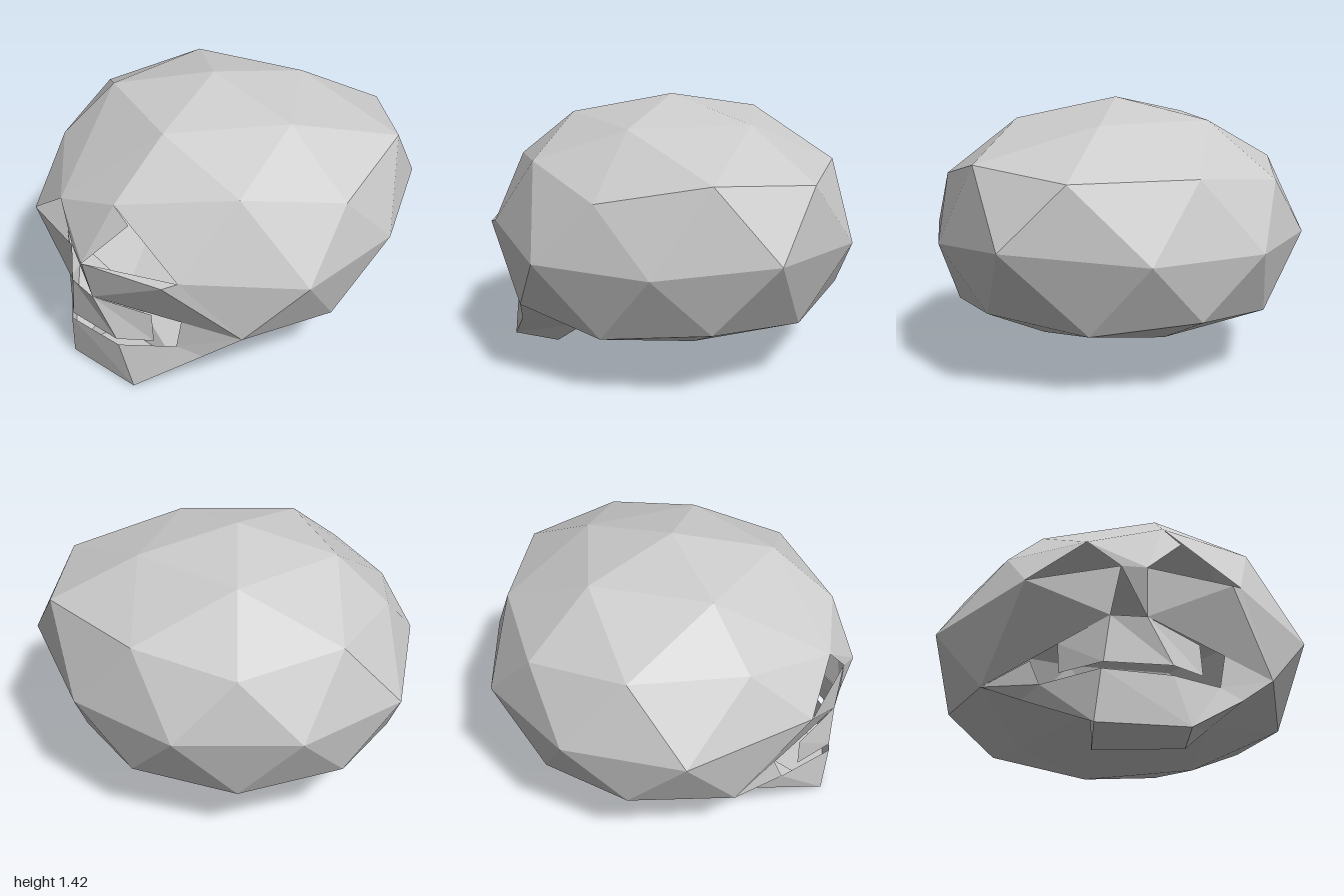
import * as THREE from 'three';

const material = new THREE.MeshStandardMaterial({ color: 0xcccccc, flatShading: true, side: THREE.DoubleSide });

// Fan-triangulates each polygon and turns every triangle away from the given centre.
function facets(name, polygons, centre) {
  const positions = [];
  const mid = new THREE.Vector3();
  const normal = new THREE.Vector3();
  for (const poly of polygons) {
    for (let i = 1; i < poly.length - 1; i++) {
      const tri = [poly[0], poly[i], poly[i + 1]].map((p) => new THREE.Vector3(...p));
      new THREE.Triangle(...tri).getNormal(normal);
      mid.copy(tri[0]).add(tri[1]).add(tri[2]).divideScalar(3).sub(centre);
      if (normal.dot(mid) < 0) tri.reverse();
      tri.forEach((p) => positions.push(p.x, p.y, p.z));
    }
  }
  const geometry = new THREE.BufferGeometry();
  geometry.setAttribute('position', new THREE.Float32BufferAttribute(positions, 3));
  geometry.computeVertexNormals();
  const mesh = new THREE.Mesh(geometry, material);
  mesh.name = name;
  return mesh;
}

// Point of a flattened sphere; the angle is counted in steps of 36 degrees from +x to +z.
function ringPoint(step, radius, height) {
  const angle = (step * Math.PI) / 5;
  return [
    1.015 * radius * Math.cos(angle),
    Math.max(0.225, 0.72 + 0.71 * height),
    0.015 + 1.015 * radius * Math.sin(angle),
  ];
}

export function createModel() {
  const skull = new THREE.Group();
  skull.name = 'skull';

  // Rings of the cranium, from the crown down to the flat base
  const crown = ringPoint(0, 0, 1);
  const base = ringPoint(0, 0, -1);
  const a = [], b = [], e = [], c = [], d = [];
  for (let k = 0; k < 10; k++) {
    const even = k % 2 === 0;
    a[k] = ringPoint(k, 0.526, 0.851);
    b[k] = even ? ringPoint(k, 0.894, 0.447) : ringPoint(k, 0.851, 0.526);
    e[k] = ringPoint(k + 0.5, 1, 0);
    c[k] = even ? ringPoint(k, 0.851, -0.526) : ringPoint(k, 0.894, -0.447);
    d[k] = ringPoint(k, 0.526, -0.851);
  }

  // Uneven spots of the brow, cheekbones and back of the head
  b[1] = [0.65, 1.15, 0.49];
  b[2] = [0.17, 1.07, 0.85];
  b[3] = [-0.2, 0.96, 0.89];
  b[4] = [-0.6, 1.05, 0.55];
  b[8] = [0.38, 1.1, -0.9];
  b[9] = [0.79, 1.15, -0.54];
  e[1] = [0.55, 0.78, 0.8];
  e[3] = [-0.49, 0.76, 0.855];
  e[8] = [0.7, 0.78, -0.85];

  // Cranium faces, leaving the face open
  const faces = [];
  const n = (k) => (k + 10) % 10;
  for (let k = 0; k < 10; k++) {
    const next = n(k + 1), prev = n(k - 1), skip = n(k + 2);
    faces.push([b[k], b[next], e[k]], [b[k], e[k], e[prev]]);
    faces.push([c[k], c[next], e[k]], [c[k], e[k], e[prev]]);
    const [cap, inner, outer] = k % 2 === 0 ? [crown, a, b] : [base, d, c];
    faces.push(
      [cap, inner[k], inner[skip]],
      [inner[k], outer[prev], outer[k]],
      [inner[k], outer[k], outer[next]],
      [inner[k], outer[next], inner[skip]],
    );
  }
  const open = [e[2], c[2], c[3]];
  const cranium = faces.filter((face) => !face.some((p) => open.includes(p)));
  const headCentre = new THREE.Vector3(0, 0.7, 0);
  skull.add(facets('cranium', cranium, headCentre));

  // Nose bridge between the eye openings
  const noseRight = [-0.04, 0.79, 0.96];
  const noseLeft = [0.08, 0.76, 1.0];
  const brow = [0.26, 0.99, 0.84];
  skull.add(facets('noseBridge', [[b[3], b[2], noseLeft, noseRight], [b[2], brow, noseLeft]], headCentre));

  // Cheekbones with the lower rims of the eyes
  const nostrilRight = [-0.09, 0.54, 0.94];
  const nostrilLeft = [0.08, 0.53, 0.95];
  const hingeRight = [-0.46, 0.42, 0.68];
  const hingeLeft = [0.47, 0.455, 0.71];
  const eyeRim = [0.5, 0.755, 0.86];
  skull.add(facets('cheekLeft', [
    [noseRight, noseLeft, nostrilLeft],
    [nostrilLeft, noseLeft, eyeRim, c[1]],
    [c[1], eyeRim, e[1]],
    [noseLeft, eyeRim, e[1]],
  ], headCentre));
  skull.add(facets('cheekRight', [
    [nostrilRight, noseRight, e[3]],
    [nostrilRight, e[3], c[4]],
  ], headCentre));

  // Upper jaw: a curved plate below the nose
  const upperTop = [[-0.33, 0.46, 0.79], nostrilRight, nostrilLeft, [0.34, 0.47, 0.79]];
  const upperBottom = [[-0.32, 0.31, 0.79], [-0.12, 0.305, 0.935], [0.2, 0.305, 0.91], [0.35, 0.31, 0.79]];
  const upperJaw = [0, 1, 2].map((i) => [upperTop[i], upperTop[i + 1], upperBottom[i + 1], upperBottom[i]]);
  const jawCentre = new THREE.Vector3(0, 0.3, 0.4);
  skull.add(facets('upperJaw', upperJaw, jawCentre));

  // Lower jaw: front rim, flat chin and sides rising to the cranium
  const rim = [[-0.41, 0.28, 0.72], [-0.13, 0.27, 0.94], [0.2, 0.26, 0.9], [0.44, 0.285, 0.72]];
  const chinRight = [-0.16, 0.02, 0.92];
  const chinLeft = [0.28, 0.02, 0.88];
  const chinBackRight = [-0.16, 0.005, 0.6];
  const chinBackLeft = [0.28, 0.02, 0.6];
  const angleRight = [-0.5, 0.25, 0.6];
  const angleLeft = [0.56, 0.25, 0.65];
  skull.add(facets('lowerJaw', [
    [rim[1], rim[2], chinLeft, chinRight],
    [rim[2], rim[3], chinLeft],
    [rim[3], angleLeft, chinLeft],
    [rim[3], hingeLeft, c[1], angleLeft],
    [rim[0], rim[1], chinRight],
    [rim[0], chinRight, angleRight],
    [rim[0], angleRight, c[4], hingeRight],
    [chinRight, chinLeft, chinBackLeft, chinBackRight],
    [chinLeft, angleLeft, d[1], chinBackLeft],
    [angleLeft, c[1], d[1]],
    [chinBackLeft, d[1], d[3], chinBackRight],
    [chinRight, chinBackRight, d[3], angleRight],
    [angleRight, d[3], c[4]],
  ], jawCentre));

  return skull;
}
